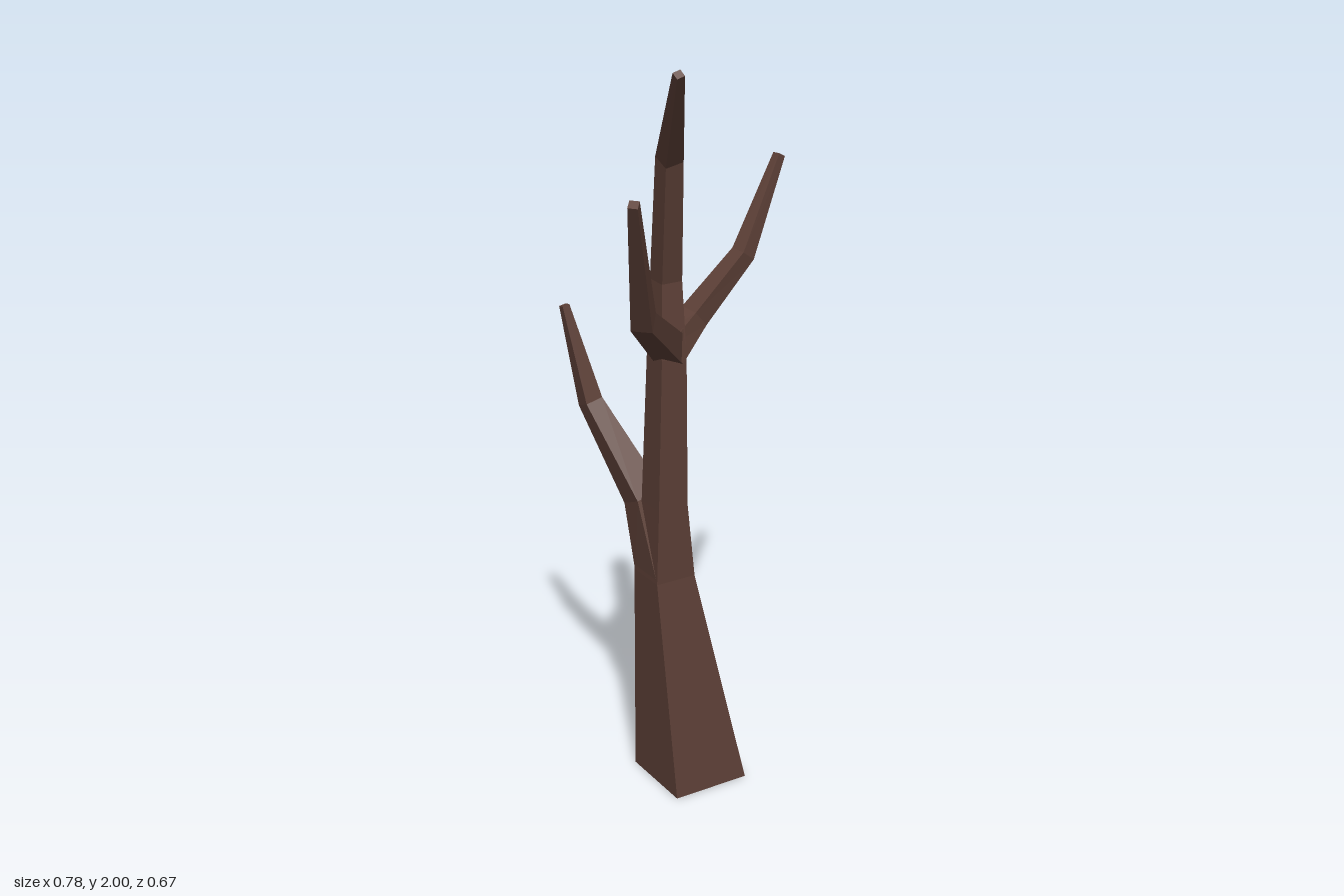
import * as THREE from 'three';

const UP = new THREE.Vector3(0, 1, 0);

// Four-sided limb through stations [x, y, z, cornerRadius].
// The first `flat` rings stay horizontal; later rings follow the limb's bend.
function limb(name, stations, angle, flat, material) {
  const pts = stations.map(s => new THREE.Vector3(s[0], s[1], s[2]));
  const dir = (a, b) => pts[b].clone().sub(pts[a]).normalize();
  const last = pts.length - 1;

  const rings = pts.map((p, i) => {
    const tangent = i < flat ? UP.clone()
      : i === 0 ? dir(0, 1)
      : i === last ? dir(last - 1, last)
      : dir(i - 1, i).add(dir(i, i + 1)).normalize();
    const q = new THREE.Quaternion().setFromUnitVectors(UP, tangent);
    return [0, 1, 2, 3].map(k => {
      const a = angle - k * Math.PI / 2;
      return new THREE.Vector3(Math.cos(a), 0, Math.sin(a))
        .multiplyScalar(stations[i][3]).applyQuaternion(q).add(p);
    });
  });

  const pos = [];
  const quad = (a, b, c, d) => [a, b, c, a, c, d].forEach(v => pos.push(v.x, v.y, v.z));
  for (let i = 0; i < last; i++) {
    for (let k = 0; k < 4; k++) {
      const n = (k + 1) % 4;
      quad(rings[i][k], rings[i][n], rings[i + 1][n], rings[i + 1][k]);
    }
  }
  const [b0, b1, b2, b3] = rings[0];
  quad(b3, b2, b1, b0);
  quad(...rings[last]);

  const geo = new THREE.BufferGeometry();
  geo.setAttribute('position', new THREE.Float32BufferAttribute(pos, 3));
  geo.computeVertexNormals();
  const mesh = new THREE.Mesh(geo, material);
  mesh.name = name;
  return mesh;
}

export function createModel() {
  const bark = new THREE.MeshStandardMaterial({ color: 0x5d4037, flatShading: true });
  bark.name = 'bark brown';
  const tree = new THREE.Group();
  tree.name = 'bareTree';

  const trunkAngle = THREE.MathUtils.degToRad(58.4);
  // yaw that keeps a branch's upper and lower faces level across
  const level = (x, z) => Math.atan2(z, x) + Math.PI / 4;

  tree.add(
    // trunk tapering into the central leader
    limb('trunk', [
      [0.16, 0, -0.02, 0.153],
      [0.08, 0.62, -0.04, 0.08],
      [0.06, 0.83, -0.02, 0.06],
      [0.043, 1.24, 0.003, 0.05],
      [0.045, 1.43, -0.002, 0.04],
      [-0.012, 1.75, 0.065, 0.034],
      [-0.148, 1.992, 0.228, 0.014],
    ], trunkAngle, 5, bark),

    // low branch reaching backward
    limb('backBranch', [
      [0.08, 0.62, -0.04, 0.079],
      [0.066, 0.82, -0.102, 0.056],
      [0.035, 1.045, -0.265, 0.034],
      [0, 1.3, -0.32, 0.014],
    ], trunkAngle, 1, bark),

    // long forked branch on the right and front
    limb('rightBranch', [
      [0.05, 1.255, 0.005, 0.05],
      [-0.215, 1.432, 0.185, 0.036],
      [-0.375, 1.765, 0.32, 0.016],
    ], level(-0.265, 0.18), 0, bark),

    // shorter branch on the left
    limb('leftBranch', [
      [0.035, 1.25, 0.01, 0.05],
      [0.13, 1.322, 0.012, 0.038],
      [0.25, 1.465, 0.06, 0.03],
      [0.378, 1.69, 0.056, 0.015],
    ], level(1, 0.1), 0, bark),
  );
  return tree;
}
